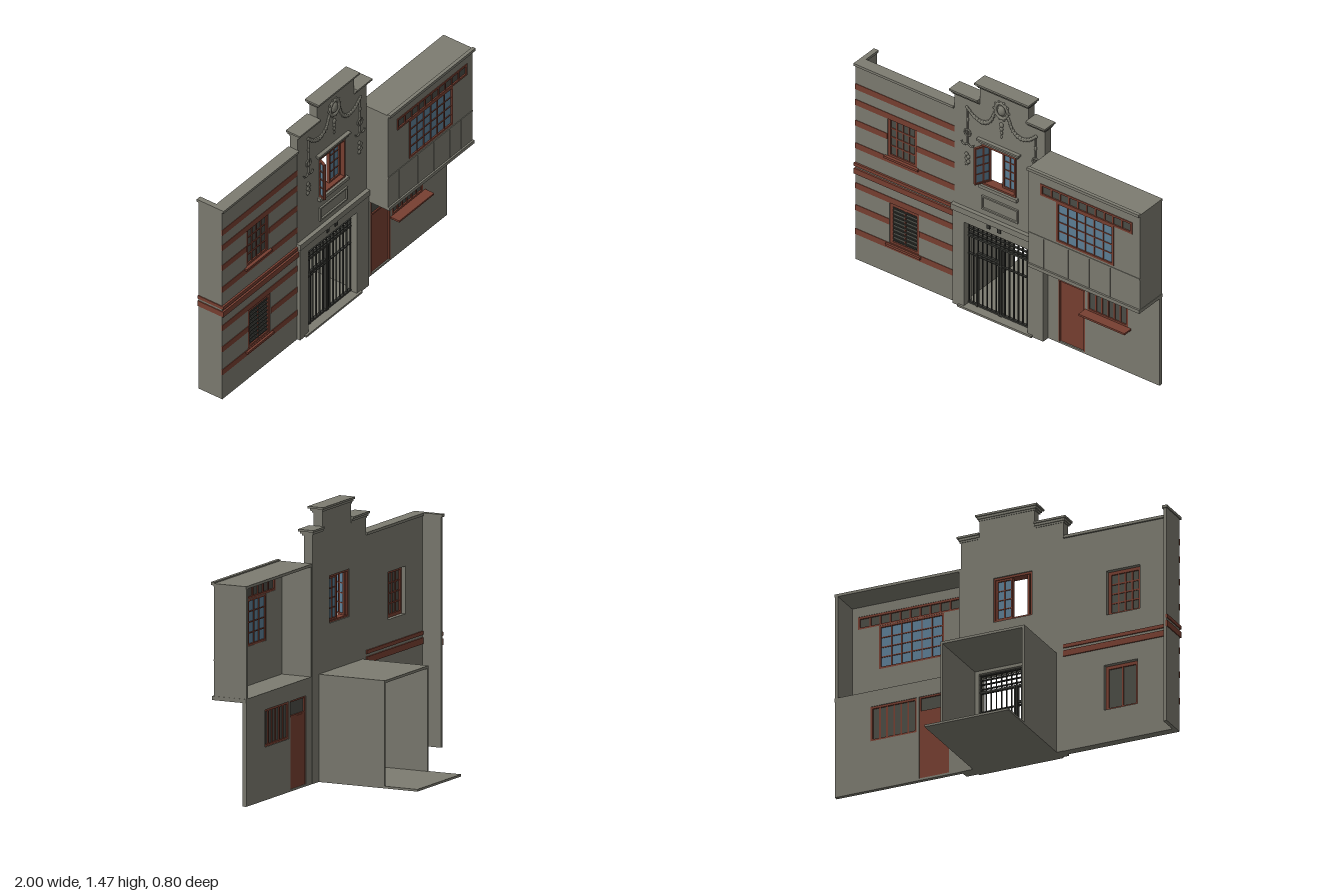
import * as THREE from 'three';

const mat = (name, color) => {
  const m = new THREE.MeshStandardMaterial({ color });
  m.name = name;
  return m;
};

export function createModel() {
  const model = new THREE.Group();
  model.name = 'streetFacade';
  const plaster = mat('grey plaster', 0x7d7c71);
  const timber = mat('red brown timber', 0x783f31);
  const blueGlass = mat('blue glass', 0x5d7f96);
  const darkGlass = mat('dark glass', 0x4c4d46);
  const metal = mat('dark metal', 0x343531);

  const add = (parent, name, geo, material) => {
    const m = new THREE.Mesh(geo, material);
    m.name = name;
    parent.add(m);
    return m;
  };
  // Box from its lower and upper limits
  const box = (parent, name, material, x0, x1, y0, y1, z0, z1) => {
    const m = add(parent, name, new THREE.BoxGeometry(x1 - x0, y1 - y0, z1 - z0), material);
    m.position.set((x0 + x1) / 2, (y0 + y1) / 2, (z0 + z1) / 2);
    return m;
  };
  const group = (name) => {
    const g = new THREE.Group();
    g.name = name;
    model.add(g);
    return g;
  };
  const rect = (x0, x1, y0, y1) => [[x0, y0], [x1, y0], [x1, y1], [x0, y1]];
  const vecs = (pts) => pts.map(([x, y]) => new THREE.Vector2(x, y));
  // Upright wall with openings
  const wall = (parent, name, outline, holes, z0, z1) => {
    const shape = new THREE.Shape(vecs(outline));
    holes.forEach((h) => shape.holes.push(new THREE.Path(vecs(rect(...h)))));
    const geo = new THREE.ExtrudeGeometry(shape, { depth: z1 - z0, bevelEnabled: false });
    geo.translate(0, 0, z0);
    return add(parent, name, geo, plaster);
  };
  // Framed window with a grid of glazing bars
  const sash = (parent, x0, x1, y0, y1, z, cols, rows, glass, t = 0.012, bar = 0.005, d = 0.02) => {
    const a = z - d / 2, b = z + d / 2;
    box(parent, 'frameLeft', timber, x0, x0 + t, y0, y1, a, b);
    box(parent, 'frameRight', timber, x1 - t, x1, y0, y1, a, b);
    box(parent, 'frameBottom', timber, x0 + t, x1 - t, y0, y0 + t, a, b);
    box(parent, 'frameTop', timber, x0 + t, x1 - t, y1 - t, y1, a, b);
    box(parent, 'pane', glass, x0 + t, x1 - t, y0 + t, y1 - t, z - 0.002, z + 0.002);
    for (let i = 1; i < cols; i++) {
      const x = x0 + t + ((x1 - x0 - 2 * t) * i) / cols;
      box(parent, 'uprightBar', timber, x - bar / 2, x + bar / 2, y0 + t, y1 - t, z - 0.007, z + 0.007);
    }
    for (let i = 1; i < rows; i++) {
      const y = y0 + t + ((y1 - y0 - 2 * t) * i) / rows;
      box(parent, 'crossBar', timber, x0 + t, x1 - t, y - bar / 2, y + bar / 2, z - 0.006, z + 0.006);
    }
  };

  // Left wing: wall, cap and return wall
  const left = group('leftWing');
  const upper = [-0.785, -0.59, 0.74, 0.995], lower = [-0.77, -0.575, 0.19, 0.45];
  wall(left, 'leftWall', rect(-0.995, -0.34, 0, 1.237), [upper, lower], 0.19, 0.237);
  box(left, 'leftCap', plaster, -1, -0.34, 1.235, 1.25, 0.18, 0.25);
  box(left, 'returnWall', plaster, -0.995, -0.975, 0, 1.237, 0.08, 0.19);
  box(left, 'returnCap', plaster, -1, -0.97, 1.235, 1.25, 0.072, 0.18);
  sash(left, ...upper, 0.224, 4, 4, darkGlass, 0.018, 0.008);
  sash(left, ...lower, 0.224, 2, 1, darkGlass, 0.018, 0.008);
  for (let i = 0; i < 9; i++) {
    const y = 0.222 + i * 0.025;
    box(left, 'louvre', metal, -0.75, -0.595, y - 0.004, y + 0.004, 0.227, 0.234);
  }
  box(left, 'upperSill', timber, -0.8, -0.575, 0.732, 0.745, 0.23, 0.252);
  box(left, 'lowerSill', timber, -0.79, -0.56, 0.178, 0.192, 0.23, 0.252);
  // Painted bands, broken where they meet a window
  for (const [y, hole] of [[1.1], [1.0], [0.868, upper], [0.724], [0.47], [0.33, lower], [0.178]]) {
    const runs = hole ? [[-0.996, hole[0]], [hole[1], -0.34]] : [[-0.996, -0.34]];
    for (const [a, b] of runs) box(left, 'band', timber, a, b, y - 0.018, y + 0.018, 0.232, 0.24);
  }
  // Twin string courses run through the wall and round the end
  for (const [a, b] of [[0.597, 0.617], [0.548, 0.582]]) {
    box(left, 'stringCourse', timber, -1, -0.34, a, b, 0.183, 0.248);
    box(left, 'stringCourseReturn', timber, -1, -0.99, a, b, 0.078, 0.183);
  }

  // Central bay with stepped gable and gate opening
  const centre = group('centralBay');
  const win = [-0.155, 0.07, 0.83, 1.085];
  wall(centre, 'gableWall', [[-0.34, 0], [-0.265, 0], [-0.265, 0.545], [0.155, 0.545], [0.155, 0],
    [0.26, 0], [0.26, 1.34], [0.15, 1.34], [0.15, 1.45], [-0.17, 1.45], [-0.17, 1.34], [-0.34, 1.34]],
  [win], 0.188, 0.24);
  for (const [a, b] of [[-0.34, -0.265], [0.155, 0.26]]) box(centre, 'pilaster', plaster, a, b, 0, 0.545, 0.235, 0.256);
  box(centre, 'lintelBand', plaster, -0.34, 0.26, 0.545, 0.605, 0.235, 0.256);
  box(centre, 'lintelMoulding', plaster, -0.348, 0.262, 0.6, 0.635, 0.235, 0.264);
  for (const x of [-0.1, -0.03]) box(centre, 'lampBlock', metal, x - 0.011, x + 0.011, 0.573, 0.597, 0.25, 0.262);
  // Stepped cornices
  const cornice = (x0, x1, top, l, r) => [[0.006, 0.034, 0.024], [0.012, 0.024, 0.011], [0.02, 0.011, 0]].forEach(([e, a, b]) =>
    box(centre, 'cornice', plaster, x0 - e * l, x1 + e * r, top - a, top - b, 0.19 - e * 0.8, 0.24 + e * 1.3));
  cornice(-0.17, 0.15, 1.467, 1, 1);
  cornice(-0.34, -0.17, 1.362, 0.8, 0);
  cornice(0.15, 0.26, 1.362, 0, 0.9);

  // Central window: one fixed sash, one swung open
  const window = group('centralWindow');
  box(window, 'frameTop', timber, -0.155, 0.07, 1.073, 1.085, 0.195, 0.246);
  box(window, 'frameBottom', timber, -0.155, 0.07, 0.83, 0.84, 0.195, 0.246);
  box(window, 'frameLeft', timber, -0.155, -0.143, 0.84, 1.073, 0.195, 0.246);
  box(window, 'frameRight', timber, 0.06, 0.07, 0.84, 1.073, 0.195, 0.246);
  sash(window, -0.037, 0.06, 0.84, 1.073, 0.21, 2, 4, blueGlass, 0.01);
  const casement = new THREE.Group();
  casement.name = 'openCasement';
  sash(casement, 0, 0.097, 0.84, 1.073, 0, 2, 4, blueGlass, 0.01, 0.005, 0.014);
  casement.position.set(-0.128, 0, 0.202);
  casement.rotation.y = -2.015;
  window.add(casement);
  box(window, 'hood', plaster, -0.17, 0.09, 1.09, 1.105, 0.235, 0.254);
  box(window, 'hoodTop', plaster, -0.18, 0.1, 1.105, 1.116, 0.235, 0.262);
  box(window, 'sill', plaster, -0.165, 0.085, 0.81, 0.83, 0.235, 0.26);
  // Blank plaque with raised rim
  wall(centre, 'plaqueRim', rect(-0.155, 0.085, 0.672, 0.757), [[-0.146, 0.076, 0.681, 0.748]], 0.239, 0.25);

  // Plaster garland, mirrored about the gable axis
  const garland = group('garland');
  garland.position.set(-0.025, 0, 0.244);
  const bud = (x, y, r, sy = 1) => {
    const m = add(garland, 'bud', new THREE.SphereGeometry(r, 8, 6), plaster);
    m.position.set(x, y, 0);
    m.scale.set(1, sy, 0.6);
  };
  const ring = (x, y, r, t, arc = Math.PI * 2, turn = 0) => {
    const m = add(garland, 'scroll', new THREE.TorusGeometry(r, t, 6, 20, arc), plaster);
    m.position.set(x, y, 0);
    m.rotation.z = turn;
    return m;
  };
  ring(0, 1.345, 0.04, 0.009).scale.y = 1.15;
  bud(0, 1.345, 0.026, 1.2);
  for (let i = 0; i < 10; i++) {
    const a = (i / 10) * Math.PI * 2;
    bud(Math.cos(a) * 0.05, 1.345 + Math.sin(a) * 0.055, 0.008);
  }
  for (let i = 0; i < 4; i++) bud(0, 1.255 - i * 0.025, 0.014 - i * 0.002, 1.1);
  for (const s of [-1, 1]) {
    const swag = new THREE.CatmullRomCurve3([[0.045, 1.315], [0.075, 1.25], [0.125, 1.222], [0.18, 1.235], [0.228, 1.275]]
      .map(([x, y]) => new THREE.Vector3(s * x, y, 0)));
    add(garland, 'swag', new THREE.TubeGeometry(swag, 24, 0.008, 6), plaster);
    for (let i = 0; i <= 12; i++) {
      const p = swag.getPoint(i / 12);
      bud(p.x, p.y, 0.014 - Math.abs(i - 6) * 0.0006);
    }
    const x = s * 0.225;
    box(garland, 'ribbon', plaster, x - 0.003, x + 0.003, 1.04, 1.27, -0.004, 0.004);
    bud(x, 1.2, 0.01, 1.6);
    ring(x, 1.115, 0.02, 0.005);
    for (const t of [-1, 1]) ring(x + t * 0.022, 1.053, 0.018, 0.005, Math.PI, Math.PI);
    for (let i = 0; i < 5; i++) bud(x + (i % 2 ? 0.006 : -0.006), 0.978 - i * 0.015, 0.012);
  }

  // Passage behind the gate, open at the rear
  const passage = group('passage');
  box(passage, 'floor', plaster, -0.3, 0.19, 0, 0.012, -0.4, 0.268);
  box(passage, 'passageSideRight', plaster, -0.3, -0.288, 0.012, 0.577, -0.205, 0.188);
  box(passage, 'passageSideLeft', plaster, 0.178, 0.19, 0.012, 0.577, -0.205, 0.188);
  box(passage, 'passageRoof', plaster, -0.288, 0.178, 0.563, 0.577, -0.205, 0.188);

  // Iron gate with a wicket door
  const gate = group('gate');
  const rail = (x0, x1, y, h) => box(gate, 'rail', metal, x0, x1, y - h / 2, y + h / 2, 0.205, 0.22);
  for (const [y, h] of [[0.541, 0.006], [0.515, 0.004], [0.49, 0.004], [0.463, 0.004], [0.443, 0.012], [0.33, 0.005], [0.02, 0.01]]) rail(-0.265, 0.155, y, h);
  rail(-0.205, -0.055, 0.35, 0.013);
  for (let i = 0; i <= 14; i++) {
    const x = -0.262 + i * 0.0296;
    box(gate, 'gateBar', metal, x - 0.002, x + 0.002, 0.012, 0.545, 0.208, 0.217);
  }
  for (const [x, top] of [[-0.06, 0.443], [-0.048, 0.443], [-0.205, 0.35]]) box(gate, 'gatePost', metal, x - 0.005, x + 0.005, 0.012, top, 0.203, 0.222);

  // Right wing, ground floor: thin wall, door and window
  const right = group('rightWing');
  wall(right, 'groundWall', [[0.26, 0], [0.33, 0], [0.33, 0.485], [0.505, 0.485], [0.505, 0], [0.998, 0], [0.998, 0.56], [0.26, 0.56]],
    [[0.52, 0.79, 0.285, 0.485]], 0.19, 0.213);
  box(right, 'door', timber, 0.33, 0.505, 0.012, 0.395, 0.193, 0.205);
  box(right, 'threshold', plaster, 0.33, 0.505, 0, 0.012, 0.19, 0.213);
  for (const [a, b] of [[0.33, 0.338], [0.497, 0.505]]) box(right, 'doorJamb', timber, a, b, 0.012, 0.395, 0.192, 0.215);
  sash(right, 0.33, 0.505, 0.395, 0.485, 0.204, 1, 1, darkGlass, 0.009);
  sash(right, 0.52, 0.79, 0.285, 0.485, 0.204, 6, 1, darkGlass, 0.012, 0.009);
  box(right, 'windowSill', timber, 0.505, 0.81, 0.275, 0.286, 0.205, 0.272);

  // Right wing, upper floor: jettied bay, hollow at the rear
  const bay = group('jettiedBay');
  const main = [0.445, 0.825, 0.785, 1.037], transom = [0.34, 0.948, 1.037, 1.11];
  wall(bay, 'bayFront', rect(0.26, 0.998, 0.56, 1.17), [[0.445, 0.825, 0.785, 1.036], [0.34, 0.948, 1.0375, 1.11]], 0.365, 0.383);
  box(bay, 'bayEnd', plaster, 0.98, 0.998, 0.57, 1.17, 0.19, 0.365);
  box(bay, 'bayInnerEnd', plaster, 0.26, 0.272, 0.57, 1.17, 0.19, 0.365);
  box(bay, 'bayRoof', plaster, 0.26, 1, 1.165, 1.18, 0.19, 0.385);
  box(bay, 'bayFloor', plaster, 0.26, 1, 0.555, 0.576, 0.19, 0.393);
  box(bay, 'gutterLip', plaster, 0.26, 1, 1.17, 1.187, 0.38, 0.4);
  sash(bay, ...main, 0.376, 6, 4, blueGlass, 0.012, 0.006);
  sash(bay, ...transom, 0.377, 10, 1, darkGlass, 0.012, 0.009);
  for (const x of [0.36, 0.52, 0.66, 0.8, 0.9]) box(bay, 'panelBatten', plaster, x - 0.003, x + 0.003, 0.576, 0.765, 0.382, 0.386);
  box(bay, 'panelRail', plaster, 0.26, 0.998, 0.765, 0.772, 0.382, 0.386);
  return model;
}
